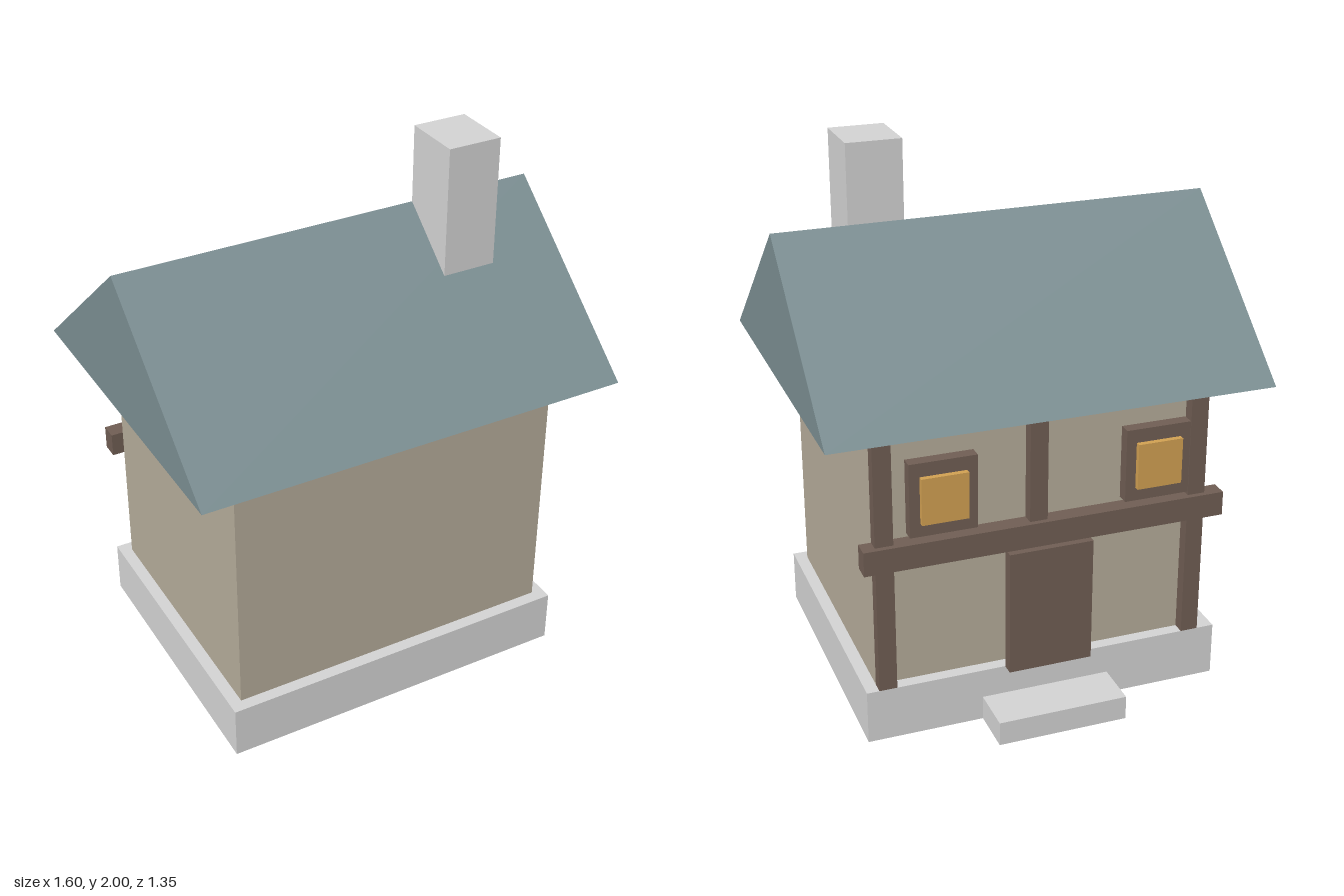
import * as THREE from 'three';

const mat = (name, color) => Object.assign(new THREE.MeshStandardMaterial({ color }), { name });

export function createModel() {
  const house = new THREE.Group();
  house.name = 'cottage';

  const stone = mat('stone', 0xd4d4d4);
  const plaster = mat('plaster', 0xb5ac9a);
  const slate = mat('slate', 0x7b8e92);
  const timber = mat('timber', 0x705e54);
  const glow = mat('window glow', 0xd2a152);

  // Box given by its extents on each axis
  const box = (name, material, [x0, x1], [y0, y1], [z0, z1]) => {
    const mesh = new THREE.Mesh(new THREE.BoxGeometry(x1 - x0, y1 - y0, z1 - z0), material);
    mesh.position.set((x0 + x1) / 2, (y0 + y1) / 2, (z0 + z1) / 2);
    mesh.name = name;
    house.add(mesh);
  };

  // Masonry and walls
  box('foundation', stone, [-0.665, 0.665], [0, 0.2], [-0.5, 0.57]);
  box('doorStep', stone, [-0.24, 0.24], [0, 0.09], [-0.675, -0.5]);
  box('walls', plaster, [-0.62, 0.62], [0.2, 1.16], [-0.455, 0.525]);
  box('chimney', stone, [0.33, 0.53], [1.45, 2], [0.035, 0.26]);

  // Gabled roof, extruded along x
  const gable = new THREE.Shape([
    new THREE.Vector2(-0.675, 1.18),
    new THREE.Vector2(0.605, 1.18),
    new THREE.Vector2(-0.035, 1.715),
  ]);
  const roofGeometry = new THREE.ExtrudeGeometry(gable, { depth: 1.6, bevelEnabled: false });
  roofGeometry.translate(0, 0, -0.8).rotateY(Math.PI / 2);
  const roof = new THREE.Mesh(roofGeometry, slate);
  roof.name = 'roof';
  house.add(roof);

  // Timber frame on the door side
  for (const x of [-0.6, 0, 0.555]) {
    box('post', timber, [x, x + 0.065], [0.2, 1.18], [-0.5, -0.455]);
  }
  box('crossBeam', timber, [-0.665, 0.665], [0.67, 0.76], [-0.52, -0.455]);
  box('door', timber, [-0.155, 0.155], [0.2, 0.67], [-0.545, -0.5]);

  // Windows either side of the middle post
  for (const x of [-0.39, 0.39]) {
    box('windowFrame', timber, [x - 0.12, x + 0.12], [0.8, 1.07], [-0.545, -0.5]);
    box('windowPane', glow, [x - 0.083, x + 0.083], [0.85, 1.02], [-0.565, -0.545]);
  }

  return house;
}
